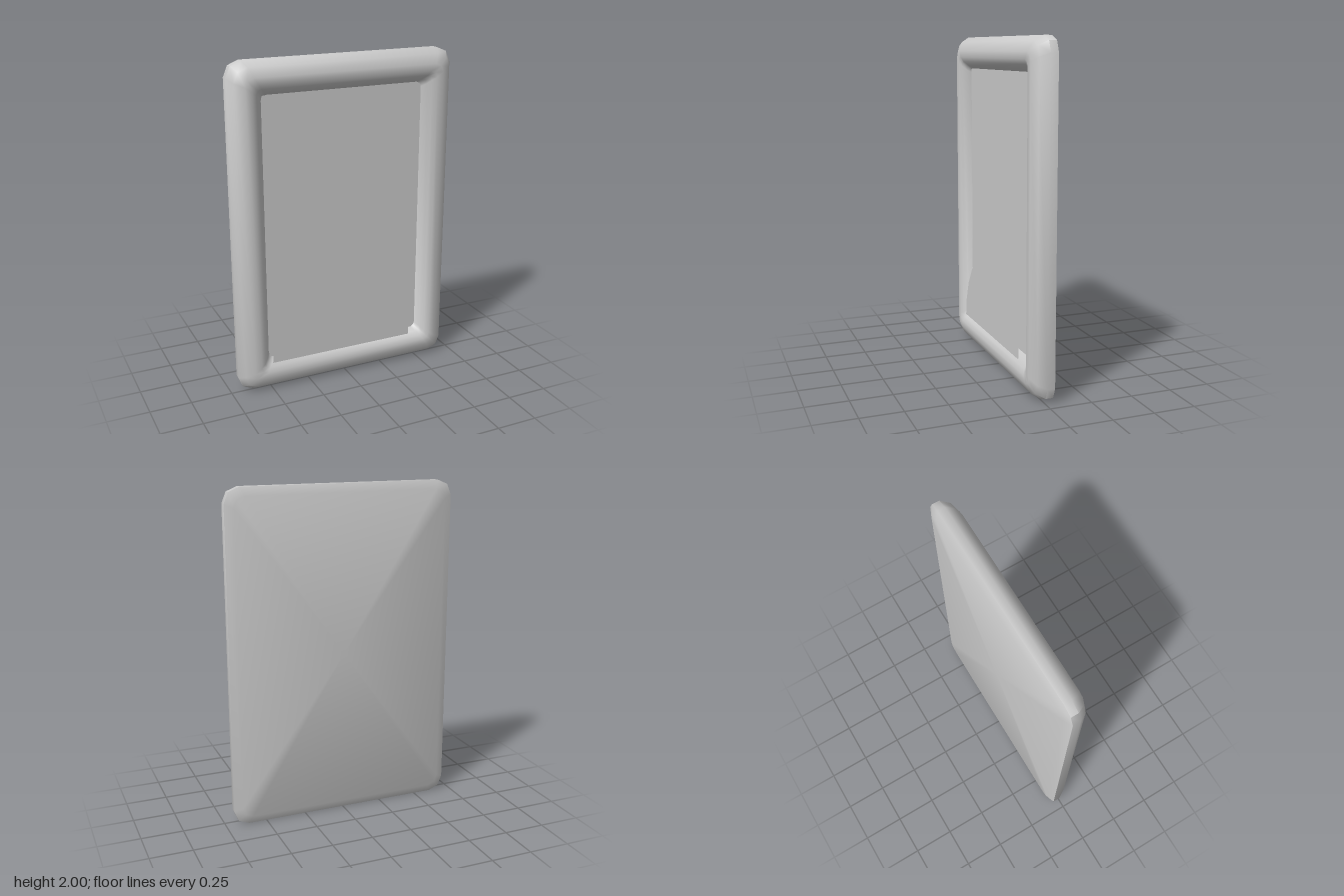
import * as THREE from 'three';
import { toCreasedNormals } from 'three/addons/utils/BufferGeometryUtils.js';

const W = 0.7, H = 1; // half width and half height of the frame

// Rounded rectangle, inset from the outer edge, as a counter-clockwise loop
function loop(inset, z, radius) {
  const points = [], cx = W - inset - radius, cy = H - inset - radius;
  [[1, 1], [-1, 1], [-1, -1], [1, -1]].forEach(([sx, sy], corner) => {
    for (let k = 0; k <= 2; k++) {
      const a = (corner + k / 2) * Math.PI / 2;
      points.push([sx * cx + radius * Math.cos(a), H + sy * cy + radius * Math.sin(a), z]);
    }
  });
  return points;
}

// Loops skinned together, with a flat fan closing each end
function skin(loops) {
  const n = loops[0].length, position = loops.flat(2), index = [];
  const last = (loops.length - 1) * n, back = loops.length * n, floor = back + 1;
  position.push(0, H, loops[0][0][2], 0, H, loops.at(-1)[0][2]);
  for (let j = 0; j < n; j++) {
    const k = (j + 1) % n;
    for (let i = 0; i < last; i += n) {
      index.push(i + j, i + k, i + n + k, i + j, i + n + k, i + n + j);
    }
    index.push(back, k, j, floor, last + j, last + k);
  }
  const geometry = new THREE.BufferGeometry();
  geometry.setAttribute('position', new THREE.Float32BufferAttribute(position, 3));
  geometry.setIndex(index);
  return toCreasedNormals(geometry, 0.75);
}

export function createModel() {
  const group = new THREE.Group();
  const material = new THREE.MeshStandardMaterial({ color: 0xcccccc });
  const sheet = new THREE.MeshStandardMaterial({ color: 0xcccccc, side: THREE.DoubleSide });
  const add = (name, geometry, mat) => {
    const mesh = new THREE.Mesh(geometry, mat);
    mesh.name = name;
    group.add(mesh);
    return mesh;
  };

  // Frame: inset, depth and corner radius from the back, round the rim, into the recess
  const profile = [
    [0.05, -0.072, 0.06], [0, -0.05, 0.09], [0, -0.005, 0.09], [0.03, 0.045, 0.08],
    [0.085, 0.072, 0.05], [0.125, 0.072, 0.04], [0.152, 0.058, 0.03],
    [0.175, 0.035, 0.03], [0.195, 0.0, 0.03],
  ];
  add('frame', skin(profile.map((p) => loop(...p))), material);

  // Flat picture sheet inside the recess
  add('picture', new THREE.PlaneGeometry(0.985, 1.605), sheet).position.set(-0.0125, 1.0025, 0.01);

  // Flat rabbit cut-out standing in front of the picture
  const outline = [
    [-0.50, 0.18], [0.43, 0.18], [0.43, 0.31], [0.405, 0.44], [0.34, 0.555], [0.40, 0.78],
    [0.43, 0.97], [0.445, 1.14], [0.395, 1.235], [0.31, 1.245], [0.235, 1.21], [0.175, 1.10],
    [0.145, 0.95], [0.135, 0.82], [0.16, 0.67], [0.04, 0.685], [-0.055, 0.68], [-0.02, 0.85],
    [-0.01, 1.01], [-0.035, 1.14], [-0.075, 1.19], [-0.19, 1.19], [-0.265, 1.12],
    [-0.30, 1.01], [-0.31, 0.86], [-0.30, 0.73], [-0.27, 0.61], [-0.375, 0.515],
    [-0.445, 0.41], [-0.49, 0.28],
  ].map(([x, y]) => new THREE.Vector2(x, y));
  add('rabbit', new THREE.ShapeGeometry(new THREE.Shape(outline)), sheet).position.z = 0.06;

  return group;
}
